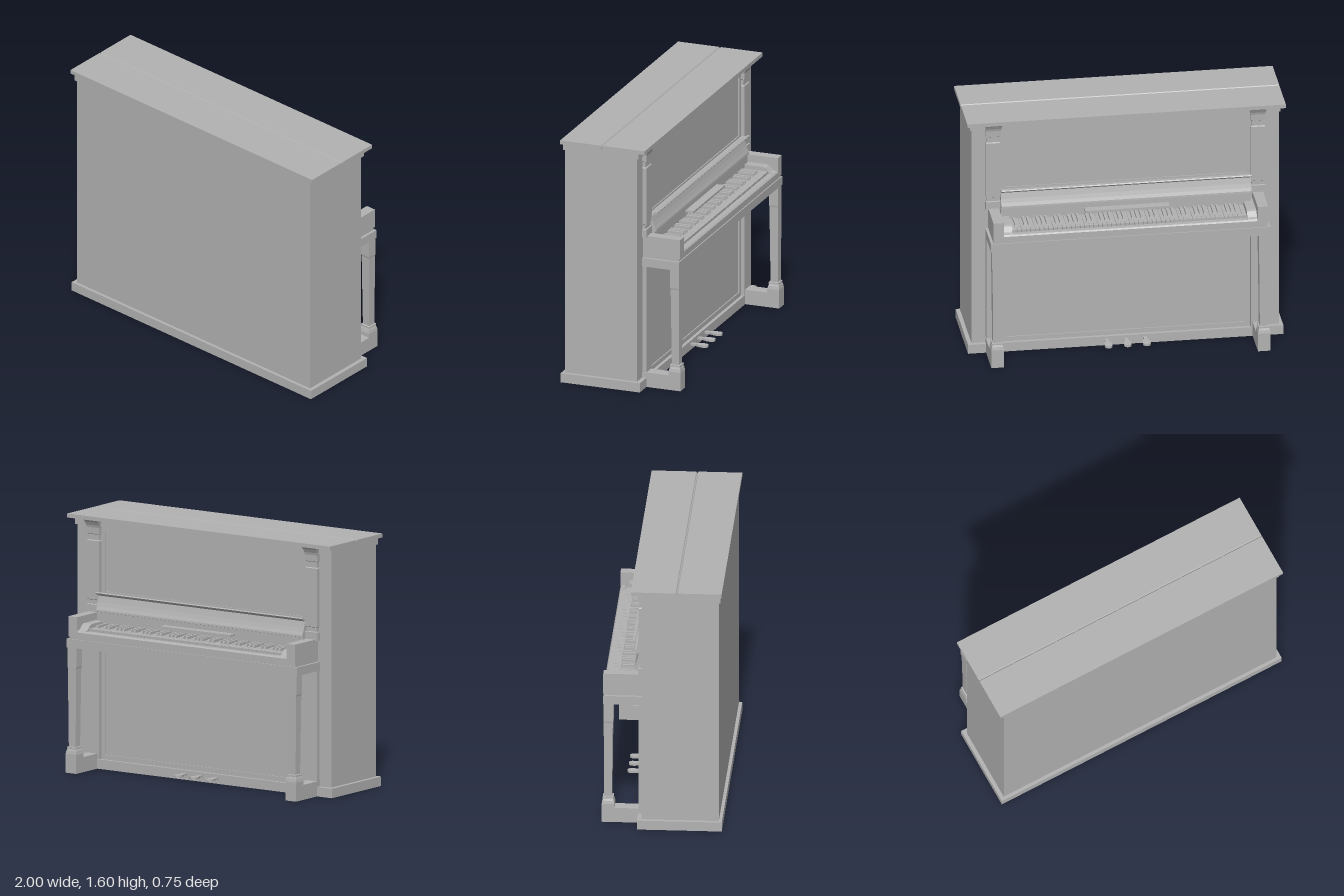
import * as THREE from 'three';

export function createModel() {
  const root = new THREE.Group();
  root.name = 'uprightPiano';
  const grey = new THREE.MeshStandardMaterial({ color: 0xb2b2b2 });
  grey.name = 'plain grey';

  const add = (name, geo, parent = root) => {
    const m = new THREE.Mesh(geo, grey);
    m.name = name;
    parent.add(m);
    return m;
  };
  // box given by its limits
  const box = (name, x0, x1, y0, y1, z0, z1, parent) => {
    const g = new THREE.BoxGeometry(x1 - x0, y1 - y0, z1 - z0);
    g.translate((x0 + x1) / 2, (y0 + y1) / 2, (z0 + z1) / 2);
    return add(name, g, parent);
  };
  // [z, y] profile extruded along x
  const profile = (name, pts, x0, x1, parent) => {
    const s = new THREE.Shape(pts.map(([z, y]) => new THREE.Vector2(z, y)));
    const g = new THREE.ExtrudeGeometry(s, { depth: x1 - x0, bevelEnabled: false });
    g.rotateY(-Math.PI / 2);
    g.translate(x1, 0, 0);
    return add(name, g, parent);
  };
  // stacked rectangles: [y, half width, front z, rear z]
  const loft = (name, cx, rows, parent) => {
    const ring = ([y, w, f, r]) => [[cx - w, y, r], [cx + w, y, r], [cx + w, y, f], [cx - w, y, f]];
    const pos = [];
    const quad = (a, b, c, d) => pos.push(...a, ...b, ...c, ...a, ...c, ...d);
    const rings = rows.map(ring);
    for (let i = 0; i < rings.length - 1; i++) {
      for (let k = 0; k < 4; k++) {
        const n = (k + 1) % 4;
        quad(rings[i][k], rings[i][n], rings[i + 1][n], rings[i + 1][k]);
      }
    }
    quad(...rings[0].slice().reverse());
    quad(...rings[rings.length - 1]);
    const g = new THREE.BufferGeometry();
    g.setAttribute('position', new THREE.Float32BufferAttribute(pos, 3));
    g.computeVertexNormals();
    return add(name, g, parent);
  };

  // case
  box('plinth', -0.99, 0.99, 0, 0.06, -0.148, 0.38);
  box('caseBody', -0.965, 0.965, 0.06, 1.525, -0.12, 0.36);
  box('cornice', -0.975, 0.975, 1.525, 1.57, -0.135, 0.37);

  // two-part lid with a bevelled hinge line
  profile('rearLid', [[0.104, 1.57], [0.38, 1.57], [0.38, 1.595], [0.107, 1.595], [0.102, 1.588], [0.102, 1.576]], -1, 1);
  profile('frontLid', [[-0.185, 1.57], [0.096, 1.57], [0.098, 1.576], [0.098, 1.588], [0.093, 1.595], [-0.185, 1.595]], -1, 1);
  box('lidHinge', -0.995, 0.995, 1.574, 1.588, 0.09, 0.11);

  // framed panels between the pilasters
  const frame = (name, y0, y1, edge, z) => {
    const g = new THREE.Group();
    g.name = name;
    root.add(g);
    for (const s of [-1, 1]) {
      box('stile', s * 0.765 - 0.015, s * 0.765 + 0.015, y0, y1, z, -0.11, g);
    }
    box('bottomRail', -0.75, 0.75, y0, y0 + edge, z, -0.11, g);
    box('topRail', -0.75, 0.75, y1 - edge, y1, z, -0.11, g);
  };
  frame('upperPanelFrame', 1.1, 1.525, 0.02, -0.127);
  frame('lowerPanelFrame', 0.06, 0.79, 0.03, -0.127);

  // key bed and rails
  box('keyBed', -0.877, 0.877, 0.79, 0.845, -0.365, -0.12);
  box('keyBedStep', -0.86, 0.86, 0.845, 0.86, -0.358, -0.12);
  box('keyFrame', -0.80, 0.80, 0.86, 0.88, -0.325, -0.12);
  profile('keySlip', [[-0.366, 0.86], [-0.325, 0.86], [-0.325, 0.9], [-0.358, 0.9], [-0.366, 0.892]], -0.74, 0.74);

  // fallboard, its lip and the folded desk leaf
  const slope = [[-0.12, 0.92], [-0.168, 0.92], [-0.168, 0.995], [-0.178, 0.998], [-0.177, 1.01],
    [-0.168, 1.03], [-0.159, 1.055], [-0.152, 1.08], [-0.148, 1.095], [-0.12, 1.095]];
  profile('fallboard', slope.reverse(), -0.785, 0.785);
  profile('fallboardLip', [[-0.12, 1.095], [-0.12, 1.108], [-0.155, 1.11], [-0.165, 1.119], [-0.177, 1.121],
    [-0.182, 1.115], [-0.178, 1.109], [-0.168, 1.107], [-0.158, 1.097]].reverse(), -0.785, 0.785);
  box('deskLeaf', -0.265, 0.265, 0.952, 0.966, -0.222, -0.165);

  // keyboard
  const keys = new THREE.Group();
  keys.name = 'keyboard';
  root.add(keys);
  const step = 1.47 / 52;
  for (let i = 0; i < 52; i++) {
    // the bass end is on +x, as seen by the player facing +z
    const x = 0.735 - (i + 0.5) * step;
    box('whiteKey', x - step * 0.47, x + step * 0.47, 0.88, 0.915, -0.324, -0.16, keys);
    if (i < 51 && ![1, 4].includes(i % 7)) {
      const b = x - step / 2;
      profile('blackKey', [[-0.278, 0.91], [-0.16, 0.91], [-0.16, 0.932], [-0.272, 0.932]],
        b - 0.0075, b + 0.0075, keys);
    }
  }

  // parts mirrored at both ends
  for (const s of [-1, 1]) {
    const end = new THREE.Group();
    end.name = s > 0 ? 'leftEnd' : 'rightEnd';
    root.add(end);
    const span = (a, b) => (s > 0 ? [a, b] : [-b, -a]);

    box('cheek', ...span(0.797, 0.862), 0.86, 0.988, -0.366, -0.12, end);
    const [k0, k1] = span(0.737, 0.797);
    profile('keyBlock', [[-0.366, 0.86], [-0.12, 0.86], [-0.12, 0.94], [-0.29, 0.94], [-0.308, 0.935],
      [-0.322, 0.92], [-0.335, 0.907], [-0.358, 0.902], [-0.366, 0.892]], k0, k1, end);

    // toe block and tapered leg
    const cx = s * 0.837;
    box('toe', cx - 0.04, cx + 0.04, 0, 0.095, -0.375, -0.12, end);
    loft('leg', cx, [
      [0.095, 0.04, -0.375, -0.295], [0.12, 0.04, -0.375, -0.295], [0.14, 0.036, -0.371, -0.3],
      [0.153, 0.031, -0.366, -0.305], [0.154, 0.034, -0.369, -0.302], [0.164, 0.034, -0.369, -0.302],
      [0.166, 0.026, -0.36, -0.312], [0.66, 0.031, -0.363, -0.306], [0.67, 0.033, -0.363, -0.303],
      [0.79, 0.033, -0.363, -0.303]], end);

    // lower and upper pilasters, with a bracket under the lid
    const px = s * 0.83;
    box('lowerPilaster', px - 0.045, px + 0.045, 0.06, 0.79, -0.147, -0.11, end);
    loft('upperPilaster', px, [
      [0.98, 0.048, -0.148, -0.11], [1.033, 0.048, -0.148, -0.11], [1.036, 0.04, -0.14, -0.11],
      [1.062, 0.04, -0.14, -0.11], [1.066, 0.046, -0.147, -0.11], [1.436, 0.046, -0.147, -0.11],
      [1.441, 0.04, -0.14, -0.11], [1.476, 0.04, -0.14, -0.11], [1.48, 0.047, -0.147, -0.11],
      [1.52, 0.047, -0.148, -0.11], [1.535, 0.049, -0.152, -0.11], [1.555, 0.052, -0.162, -0.11],
      [1.57, 0.055, -0.172, -0.11]], end);
  }

  // three pedals with rounded tips
  const outline = new THREE.Shape();
  outline.moveTo(-0.011, 0);
  outline.lineTo(-0.011, 0.06);
  outline.quadraticCurveTo(-0.024, 0.08, -0.024, 0.11);
  outline.absarc(0, 0.113, 0.024, Math.PI, 0, true);
  outline.quadraticCurveTo(0.024, 0.08, 0.011, 0.06);
  outline.lineTo(0.011, 0);
  const pedalGeo = new THREE.ExtrudeGeometry(outline, { depth: 0.014, bevelEnabled: false, curveSegments: 8 });
  pedalGeo.rotateX(-Math.PI / 2);
  for (const x of [-0.12, 0, 0.12]) {
    add('pedal', pedalGeo).position.set(x, 0.03, -0.125);
  }
  return root;
}
